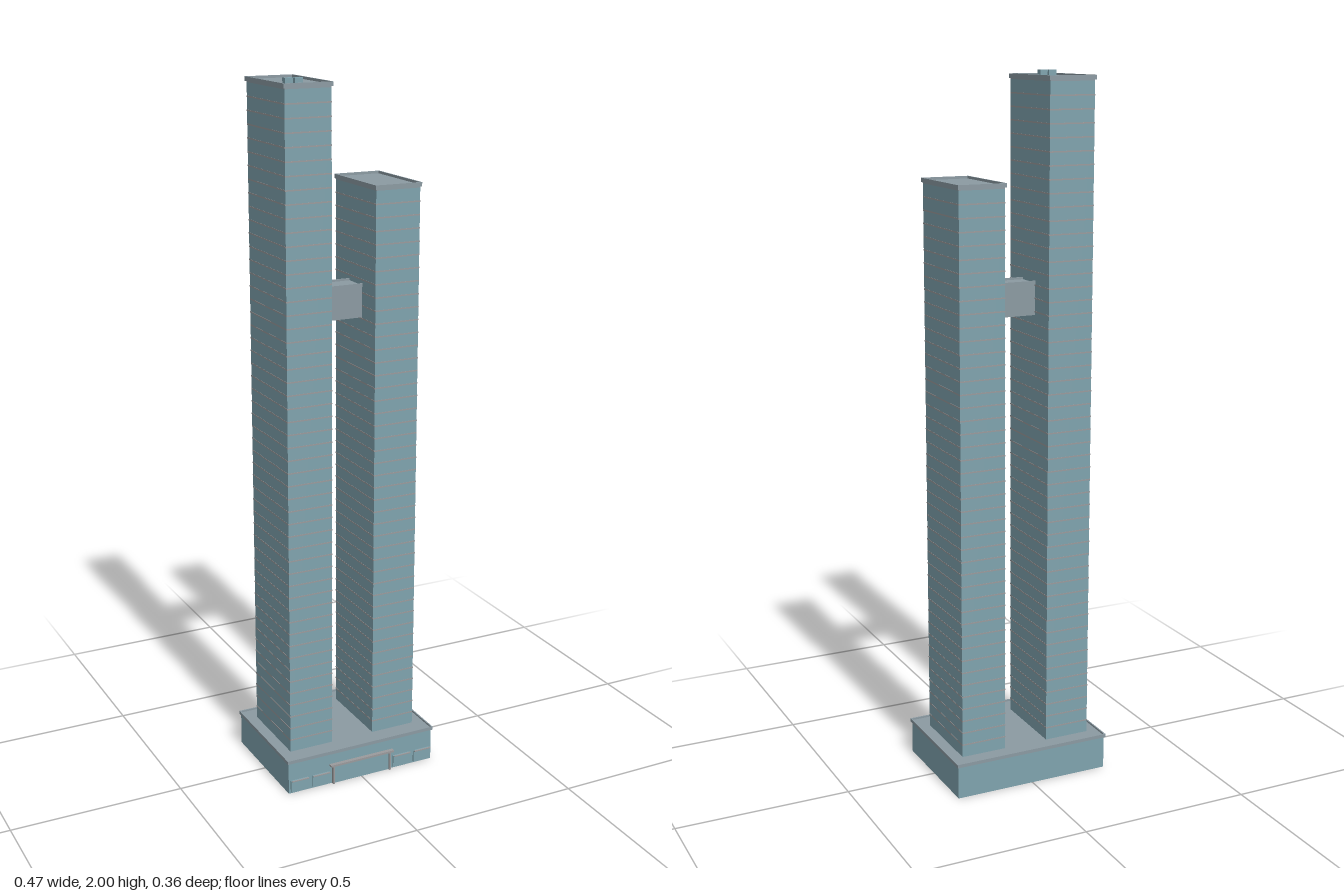
import * as THREE from 'three';

const glass = new THREE.MeshStandardMaterial({ color: 0x7fa3ae });
const stone = new THREE.MeshStandardMaterial({ color: 0x8b9aa2 });
const trim = new THREE.MeshStandardMaterial({ color: 0x9a9a9c });

// Box given by its min and max corners
function box(parent, name, mat, [x0, x1], [y0, y1], [z0, z1]) {
  const mesh = new THREE.Mesh(new THREE.BoxGeometry(x1 - x0, y1 - y0, z1 - z0), mat);
  mesh.position.set((x0 + x1) / 2, (y0 + y1) / 2, (z0 + z1) / 2);
  mesh.name = name;
  parent.add(mesh);
  return mesh;
}

// Rectangular rim of four walls around an open roof
function parapet(parent, name, [x0, x1], [y0, y1], [z0, z1], t) {
  const g = new THREE.Group();
  g.name = name;
  box(g, 'frontRim', stone, [x0 + t, x1 - t], [y0, y1], [z1 - t, z1]);
  box(g, 'backRim', stone, [x0 + t, x1 - t], [y0, y1], [z0, z0 + t]);
  box(g, 'rightRim', stone, [x0, x0 + t], [y0, y1], [z0, z1]);
  box(g, 'leftRim', stone, [x1 - t, x1], [y0, y1], [z0, z1]);
  parent.add(g);
}

// Tower shaft with floor bands, roof slab and parapet
function tower(name, cx, top) {
  const g = new THREE.Group();
  g.name = name;
  const base = 0.1, hx = 0.067, z0 = -0.128, z1 = 0.111, out = 0.0007;
  box(g, 'shaft', glass, [cx - hx, cx + hx], [base, top - 0.015], [z0, z1]);
  const floors = Math.round((top - base) / 0.037);
  const step = (top - 0.015 - base) / floors;
  for (let i = 1; i < floors; i++) {
    const y = base + i * step;
    box(g, 'floorBand', trim, [cx - hx - out, cx + hx + out], [y - 0.002, y + 0.002], [z0 - out, z1 + out]);
  }
  box(g, 'roof', stone, [cx - hx, cx + hx], [top - 0.015, top - 0.007], [z0, z1]);
  parapet(g, 'parapet', [cx - 0.0705, cx + 0.0705], [top - 0.012, top], [-0.132, 0.115], 0.004);
  return g;
}

export function createModel() {
  const model = new THREE.Group();
  model.name = 'twinTowers';

  // Podium
  const podium = new THREE.Group();
  podium.name = 'podium';
  box(podium, 'podiumBody', glass, [-0.233, 0.233], [0, 0.093], [-0.175, 0.166]);
  box(podium, 'podiumRoof', stone, [-0.233, 0.233], [0.093, 0.1], [-0.175, 0.166]);
  parapet(podium, 'podiumParapet', [-0.237, 0.237], [0.095, 0.105], [-0.179, 0.17], 0.004);

  // Shop fronts and entrance
  for (const s of [-1, 1]) {
    for (const x of [0.132, 0.2]) {
      box(podium, 'shopWindow', glass, [s * x - 0.027, s * x + 0.027], [0.004, 0.04], [0.166, 0.17]);
      box(podium, 'shopAwning', trim, [s * x - 0.027, s * x + 0.027], [0.04, 0.043], [0.174, 0.178]);
    }
    box(podium, 'entrancePost', trim, [s * 0.092 - 0.003, s * 0.092 + 0.003], [0, 0.057], [0.166, 0.175]);
  }
  box(podium, 'entranceDoors', glass, [-0.089, 0.089], [0, 0.052], [0.166, 0.169]);
  box(podium, 'entranceCanopy', trim, [-0.103, 0.103], [0.057, 0.063], [0.166, 0.178]);
  model.add(podium);

  // Towers
  model.add(tower('tallTower', -0.134, 1.99), tower('shortTower', 0.132, 1.715));

  // Sky bridge between the towers
  const bridge = new THREE.Group();
  bridge.name = 'skyBridge';
  box(bridge, 'bridgeBody', stone, [-0.067, 0.065], [1.34, 1.43], [-0.043, 0.033]);
  for (const z of [-0.044, 0.033]) {
    box(bridge, 'bridgeRim', stone, [-0.067, 0.065], [1.425, 1.436], [z - 0.0015, z + 0.0015]);
  }
  model.add(bridge);

  // Rooftop machines on the tall tower
  for (const x of [-0.171, -0.1435]) {
    box(model, 'roofUnit', glass, [x - 0.0115, x + 0.0115], [1.98, 2], [0.059, 0.076]);
  }
  return model;
}
